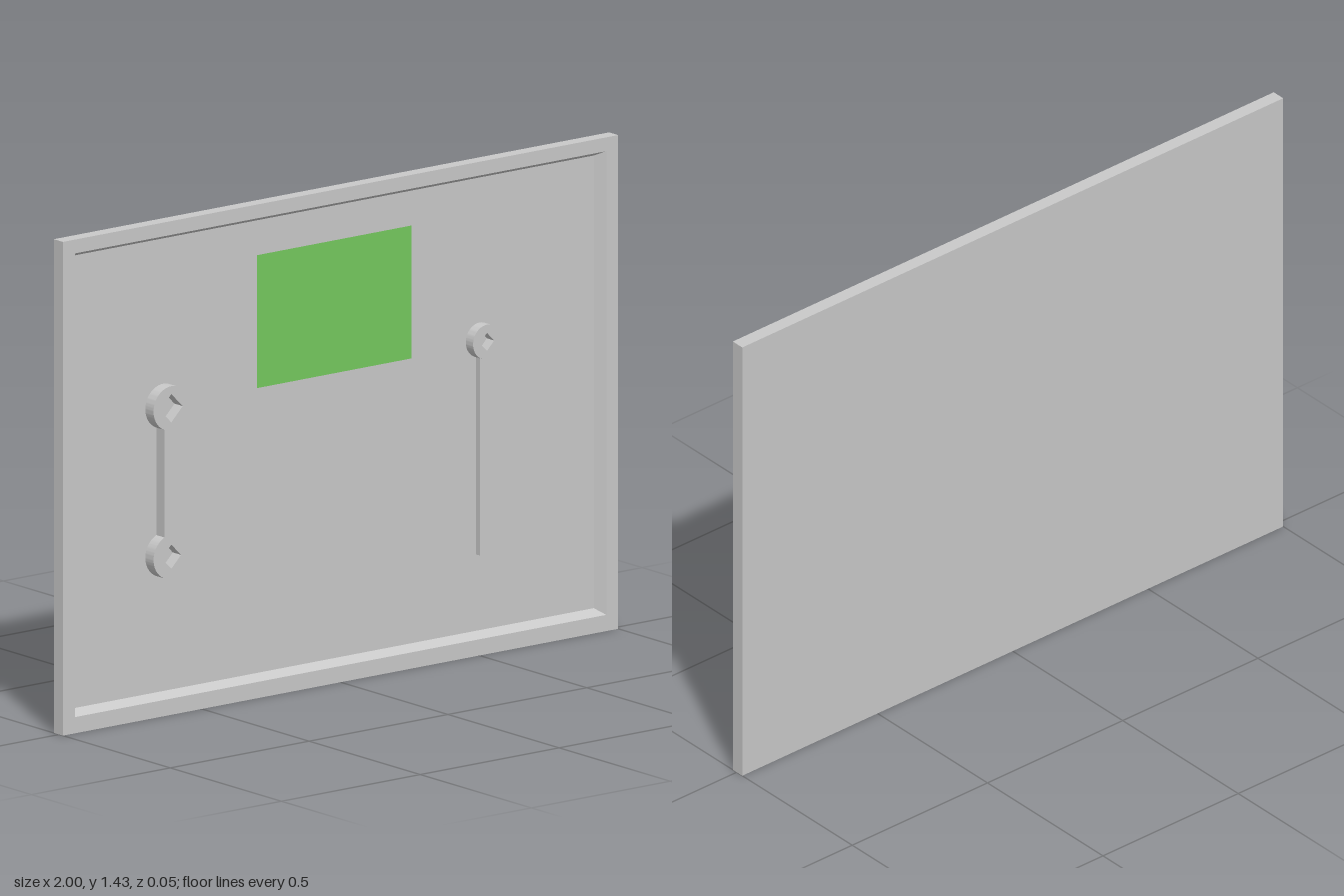
import * as THREE from 'three';
import { toCreasedNormals } from 'three/addons/utils/BufferGeometryUtils.js';

const FLOOR = -0.013, RIM = 0.017, BACK = -0.024;

// Rectangular tray: joins rectangle loops [x0, y0, x1, y1, z] from the back to the recess floor
function trayGeometry(loops) {
  const pos = [];
  const rings = loops.map(([a, b, c, d, z]) => [[a, b, z], [c, b, z], [c, d, z], [a, d, z]]);
  const quad = (p, q, r, s) => [p, q, r, p, r, s].forEach(v => pos.push(...v));
  for (let k = 0; k < rings.length - 1; k++) {
    const lo = rings[k], hi = rings[k + 1];
    for (let i = 0; i < 4; i++) {
      const j = (i + 1) % 4;
      quad(lo[i], lo[j], hi[j], hi[i]);
    }
  }
  const first = rings[0], last = rings[rings.length - 1];
  quad(first[3], first[2], first[1], first[0]);
  quad(...last);
  const geo = new THREE.BufferGeometry();
  geo.setAttribute('position', new THREE.Float32BufferAttribute(pos, 3));
  geo.computeVertexNormals();
  return geo;
}

// Diamond-shaped socket cut into a disc
function diamond(y, r) {
  const p = new THREE.Path();
  p.moveTo(r, y);
  p.lineTo(0, y - r);
  p.lineTo(-r, y);
  p.lineTo(0, y + r);
  p.closePath();
  return p;
}

function plate(shape, x, y, front) {
  const geo = new THREE.ExtrudeGeometry(shape, {
    depth: front - FLOOR, bevelEnabled: false, curveSegments: 40,
  });
  geo.translate(x, y, FLOOR);
  return toCreasedNormals(geo, 0.5);
}

export function createModel() {
  const group = new THREE.Group();
  const grey = new THREE.MeshStandardMaterial({ color: 0xc8c8c8 });
  grey.name = 'grey';
  const green = new THREE.MeshStandardMaterial({ color: 0x74c85e });
  green.name = 'green';
  const add = (name, geo, mat) => {
    const mesh = new THREE.Mesh(geo, mat);
    mesh.name = name;
    group.add(mesh);
    return mesh;
  };

  // Panel with a raised rim and sloped inner walls
  add('framedPanel', trayGeometry([
    [-1, 0, 1, 1.43, BACK],
    [-1, 0, 1, 1.43, RIM],
    [-0.957, 0.047, 0.957, 1.39, RIM],
    [-0.936, 0.064, 0.936, 1.375, FLOOR],
  ]), grey);

  // Green label on the panel floor
  add('greenLabel', new THREE.PlaneGeometry(0.556, 0.385)
    .translate(0, 1.082, FLOOR + 0.002), green);

  // Double-ended link: two discs joined by a bar in one outline
  const r = 0.064, w = 0.024, h = 0.215;
  const a = Math.asin(w / r);
  const link = new THREE.Shape();
  link.absarc(0, h, r, -Math.PI / 2 + a, Math.PI * 1.5 - a, false);
  link.absarc(0, -h, r, Math.PI / 2 + a, Math.PI * 2.5 - a, false);
  link.closePath();
  link.holes.push(diamond(h, 0.041), diamond(-h, 0.035));
  add('doubleLink', plate(link, -0.615, 0.675, 0.024), grey);

  // Pivot disc with a thin hanging rod
  const disc = new THREE.Shape();
  disc.absarc(0, 0, 0.05, 0, Math.PI * 2, false);
  disc.holes.push(diamond(0, 0.026));
  add('pivotDisc', plate(disc, 0.525, 0.905, 0.02), grey);
  add('hangingRod', new THREE.BoxGeometry(0.025, 0.58, 0.016)
    .translate(0.525, 0.575, FLOOR + 0.008), grey);

  return group;
}
